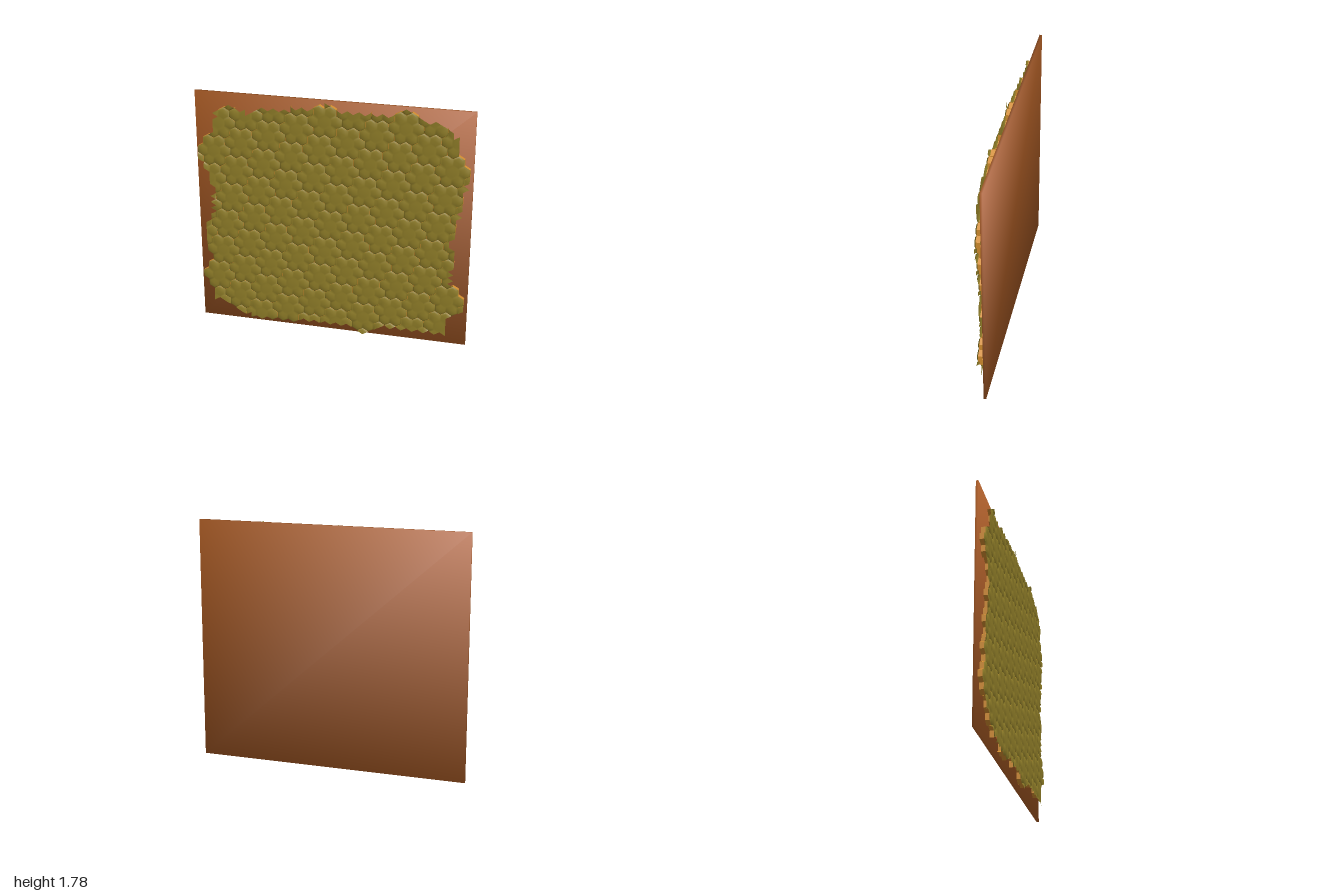
import * as THREE from 'three';
import { mergeVertices } from 'three/addons/utils/BufferGeometryUtils.js';

const D = 0.0817;                 // spacing of the small hexagons
const R = D / Math.sqrt(3);       // hexagon corner radius
const FRONT = 0.033, EDGE = 0.023, BACK = -0.007;
const CENTRE_Y = 0.858;

// Ragged outline of the tiled field
const outline = [
  [-0.74, 1.71], [-0.6, 1.65], [-0.49, 1.69], [-0.26, 1.71], [-0.12, 1.72], [-0.02, 1.77], [0.09, 1.72],
  [0.28, 1.71], [0.45, 1.72], [0.53, 1.77], [0.63, 1.71], [0.74, 1.70], [0.83, 1.65], [0.91, 1.57],
  [0.88, 1.45], [0.99, 1.38], [0.96, 1.25], [0.94, 1.10], [0.9, 0.96], [0.9, 0.85], [0.86, 0.81],
  [0.9, 0.74], [0.87, 0.50], [0.99, 0.38], [0.95, 0.26], [0.87, 0.24], [0.87, 0.09], [0.35, 0.08],
  [0.25, 0.02], [0.15, 0.07], [-0.23, 0.08], [-0.36, 0.03], [-0.66, 0.06], [-0.92, 0.19], [-0.9, 0.24],
  [-0.99, 0.36], [-0.9, 0.48], [-0.94, 0.56], [-0.93, 0.80], [-0.88, 0.87], [-0.87, 1.07], [-0.93, 1.21],
  [-0.99, 1.36], [-0.85, 1.52], [-0.84, 1.63],
];

function inside(x, y) {
  let hit = false;
  for (let i = 0, j = outline.length - 1; i < outline.length; j = i++) {
    const [ax, ay] = outline[i], [bx, by] = outline[j];
    if ((ay > y) !== (by > y) && x < ((bx - ax) * (y - ay)) / (by - ay) + ax) hit = !hit;
  }
  return hit;
}

// Centres of one hexagon and its six neighbours
const hexes = [[0, 0]];
for (let k = 0; k < 6; k++) hexes.push([D * Math.cos(k * Math.PI / 3), D * Math.sin(k * Math.PI / 3)]);

function makeGeometry(positions) {
  const g = new THREE.BufferGeometry();
  g.setAttribute('position', new THREE.Float32BufferAttribute(positions, 3));
  return g;
}

// One flower-shaped tile; at the fringe only wedges inside the outline are kept
function makeTile(cx, cy, faceMat, wallMat) {
  const count = hexes.filter(([x, y]) => inside(cx + x, cy + y)).length;
  const whole = count >= 6;
  const face = [], wall = [];
  for (const [hx, hy] of hexes) {
    for (let i = 0; i < 6; i++) {
      const corner = (n, s) => {
        const a = (n + 0.5) * Math.PI / 3;
        return [hx + R * s * Math.cos(a), hy + R * s * Math.sin(a)];
      };
      const a = corner(i, 1), b = corner(i + 1, 1);
      const mx = (hx + a[0] + b[0]) / 3, my = (hy + a[1] + b[1]) / 3;
      if (!whole && !inside(cx + mx, cy + my)) continue;
      const rim = (p) => Math.hypot(p[0], p[1]) > 1.5 * R;
      const top = (p) => [p[0] * 0.995, p[1] * 0.995, rim(p) ? EDGE : FRONT - 0.002];
      const A = top(a), B = top(b);
      const P = [...corner(i, 0.72), FRONT - 0.001], Q = [...corner(i + 1, 0.72), FRONT - 0.001];
      face.push(hx, hy, FRONT, ...P, ...Q, ...P, ...A, ...B, ...P, ...B, ...Q);
      if (rim(a) && rim(b)) {
        const A0 = [A[0], A[1], BACK], B0 = [B[0], B[1], BACK];
        wall.push(...A, ...A0, ...B0, ...A, ...B0, ...B);
      }
    }
  }
  if (!face.length) return null;
  const tile = new THREE.Group();
  tile.name = 'tile';
  const faceGeo = mergeVertices(makeGeometry(face), 1e-4);
  faceGeo.computeVertexNormals();
  const faceMesh = new THREE.Mesh(faceGeo, faceMat);
  faceMesh.name = 'tileFace';
  tile.add(faceMesh);
  if (wall.length) {
    const wallGeo = makeGeometry(wall);
    wallGeo.computeVertexNormals();
    const wallMesh = new THREE.Mesh(wallGeo, wallMat);
    wallMesh.name = 'tileWall';
    tile.add(wallMesh);
  }
  tile.position.set(cx, cy, 0);
  return tile;
}

export function createModel() {
  const model = new THREE.Group();
  model.name = 'tiledPanel';
  const mat = (name, color) => {
    const m = new THREE.MeshStandardMaterial({ color });
    m.name = name;
    return m;
  };
  const olive = mat('olive', 0x8f7d28);
  const amber = mat('amber', 0xd18c2e);
  const brown = mat('brown', 0xa85a24);
  olive.side = amber.side = THREE.DoubleSide;

  // Backing board, softly shaded with corner-pointing normals
  const boardGeo = new THREE.BoxGeometry(2, 1.78, 0.018);
  const p = boardGeo.attributes.position, n = boardGeo.attributes.normal;
  for (let i = 0; i < p.count; i++) {
    const v = new THREE.Vector3(Math.sign(p.getX(i)), Math.sign(p.getY(i)), Math.sign(p.getZ(i))).normalize();
    n.setXYZ(i, v.x, v.y, v.z);
  }
  const board = new THREE.Mesh(boardGeo, brown);
  board.name = 'backingBoard';
  board.position.set(0, 0.89, -0.024);
  model.add(board);

  // Interlocking tiles on a skewed triangular lattice
  const tiles = new THREE.Group();
  tiles.name = 'tiles';
  const ax = 2.5 * D, ay = D * Math.sqrt(3) / 2;     // first lattice step
  const bx = 0.5 * D, by = 1.5 * Math.sqrt(3) * D;   // second lattice step
  for (let i = -8; i <= 8; i++) {
    for (let j = -8; j <= 8; j++) {
      const tile = makeTile(i * ax + j * bx, CENTRE_Y + i * ay + j * by, olive, amber);
      if (tile) tiles.add(tile);
    }
  }
  model.add(tiles);
  return model;
}
